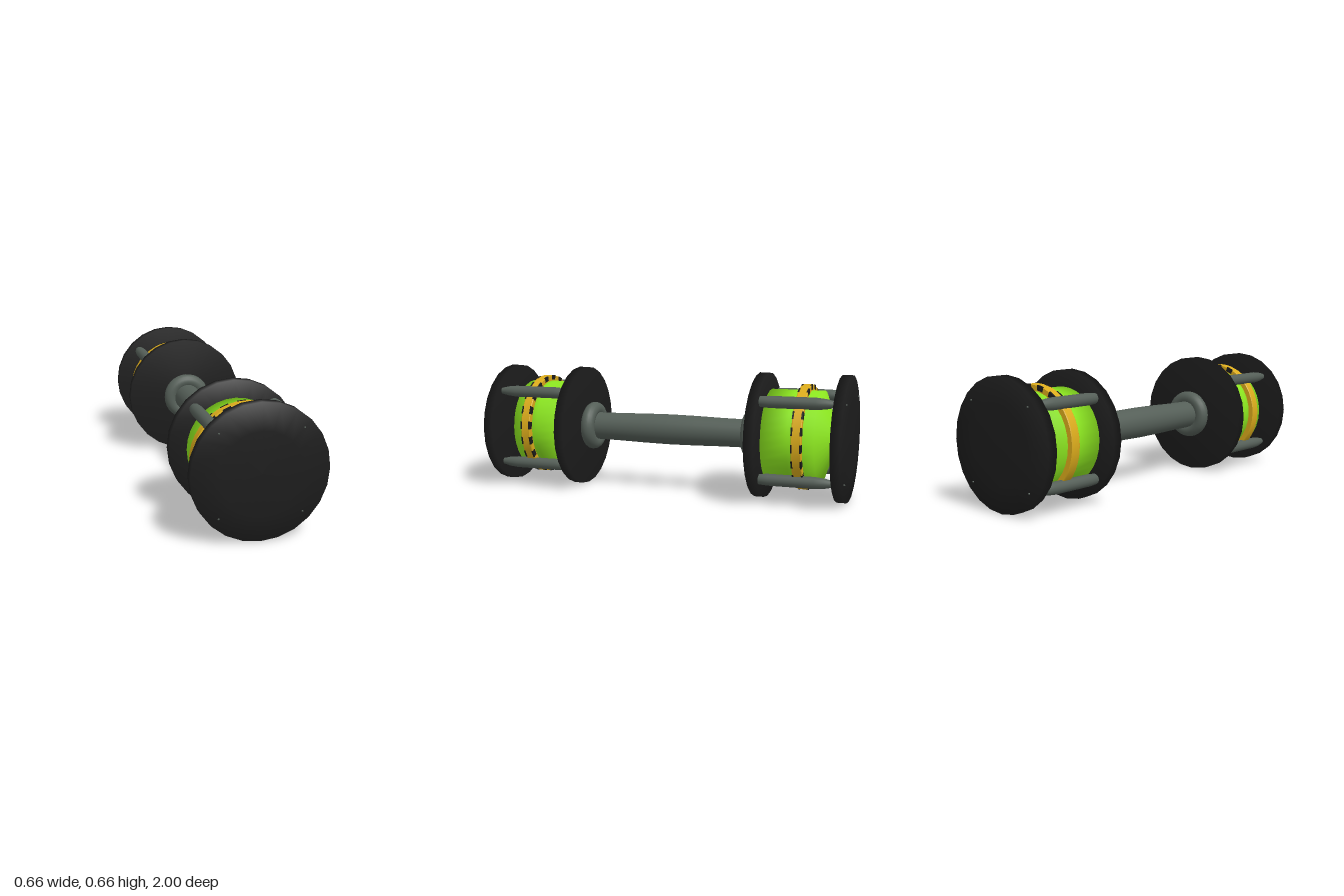
import * as THREE from 'three';
import { toCreasedNormals } from 'three/addons/utils/BufferGeometryUtils.js';

const mat = (name, color) => {
  const m = new THREE.MeshStandardMaterial({ color });
  m.name = name;
  return m;
};

// Smooth lathe around the z axis; profile is a list of [radius, z] with z rising
function turned(profile, segments, start = 0, length = Math.PI * 2) {
  const pts = profile.map(([r, z]) => new THREE.Vector2(r, z));
  return new THREE.LatheGeometry(pts, segments, start, length).rotateX(Math.PI / 2);
}

export function createModel() {
  const black = mat('black rubber', 0x1c1c1c);
  const grey = mat('grey metal', 0x555f58);
  const green = mat('green core', 0x8eea20);
  const gold = mat('gold band', 0xdcac1c);

  const model = new THREE.Group();
  model.name = 'dumbbell';
  const axle = new THREE.Group();
  axle.name = 'axle';
  axle.position.y = 0.33;
  model.add(axle);

  const add = (parent, name, geometry, material) => {
    const m = new THREE.Mesh(geometry, material);
    m.name = name;
    parent.add(m);
    return m;
  };

  // Grip, slightly swollen in the middle
  add(axle, 'grip', turned([[0.075, -0.5], [0.077, -0.3], [0.081, -0.15], [0.083, 0],
    [0.081, 0.15], [0.077, 0.3], [0.075, 0.5]], 24), grey);

  // Plate with a low dome on its outer side, shaded softly over the rim
  const plate = (z) => turned([[0, z], [0.33, z], [0.33, z + 0.05], [0.2, z + 0.06],
    [0.1, z + 0.064], [0, z + 0.066]], 24);

  for (const side of [1, -1]) {
    const head = new THREE.Group();
    head.name = side > 0 ? 'frontHead' : 'backHead';
    if (side < 0) head.rotation.y = Math.PI;
    axle.add(head);

    const collar = add(head, 'collar', new THREE.TorusGeometry(0.095, 0.038, 16, 32), grey);
    collar.position.z = 0.46;

    add(head, 'innerPlate', plate(0.5), black);
    add(head, 'outerPlate', plate(0.932), black);
    add(head, 'core', turned([[0, 0.555], [0.245, 0.565], [0.245, 0.7], [0.245, 0.84], [0, 0.927]], 32), green);

    // Band around the core
    add(head, 'band', toCreasedNormals(turned([[0.24, 0.728], [0.272, 0.728], [0.275, 0.732],
      [0.275, 0.776], [0.272, 0.78], [0.24, 0.78]], 40), 0.6), gold);

    // Dark dashes along both edges of the band, left off on the -x side
    const step = Math.PI / 10;
    for (let i = 0; i < 20; i++) {
      const a = i * step;
      if (Math.sin(a + step / 4) * side < -0.72) continue;
      for (const [z0, z1] of [[0.7265, 0.735], [0.773, 0.7815]]) {
        const dash = turned([[0.251, z0], [0.2765, z0], [0.2765, z1], [0.251, z1]], 1, a, step / 2);
        add(head, 'bandDash', toCreasedNormals(dash, 0.6), black);
      }
    }

    // Four tapered rods between the plates
    const rod = turned([[0, 0.505], [0.018, 0.512], [0.027, 0.55], [0.031, 0.6], [0.031, 0.84],
      [0.026, 0.89], [0.016, 0.935], [0.003, 0.991], [0, 0.993]], 16);
    for (const x of [-0.2, 0.2]) {
      for (const y of [-0.2, 0.2]) add(head, 'rod', rod, grey).position.set(x, y, 0);
    }
  }
  return model;
}
